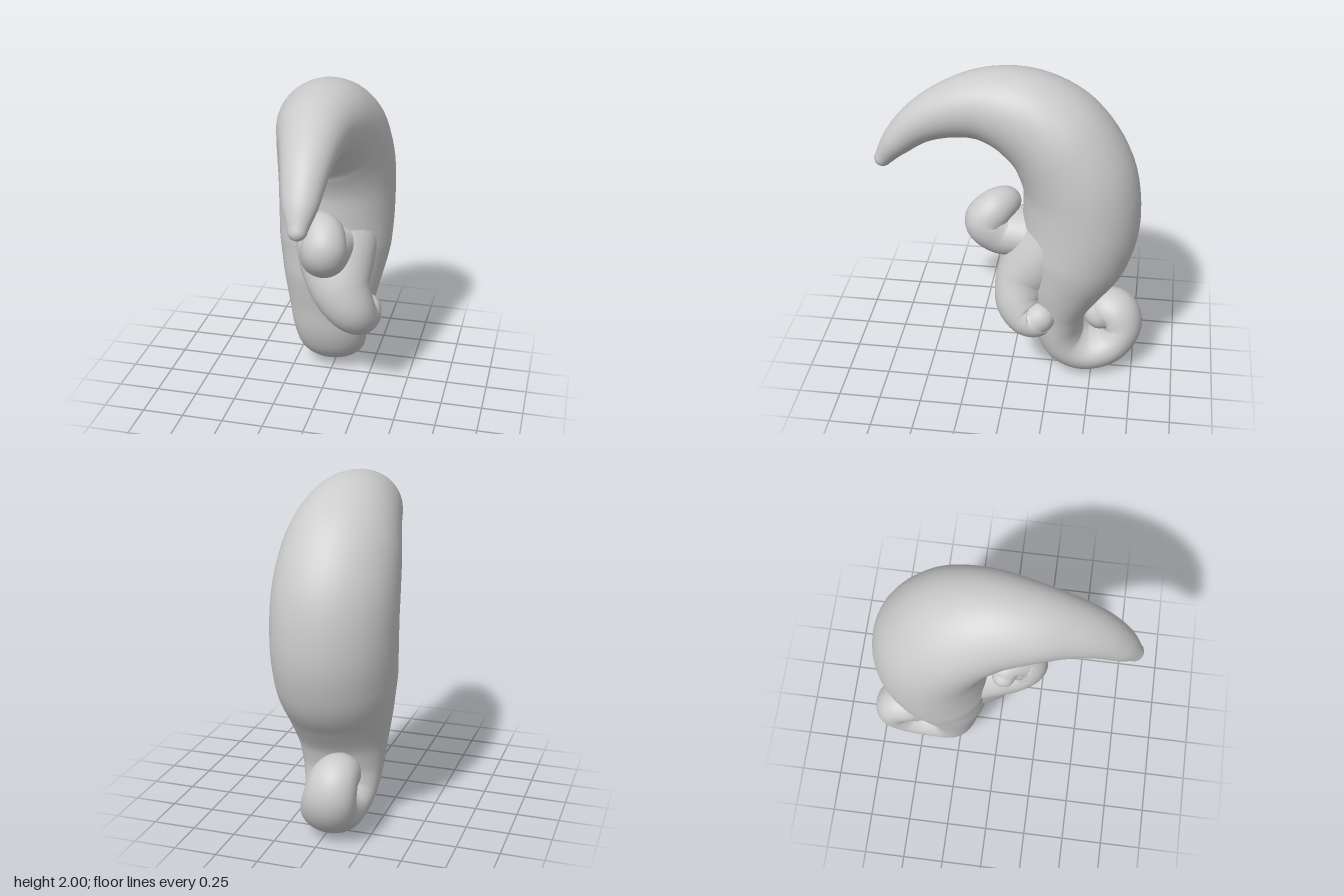
import * as THREE from 'three';

const material = new THREE.MeshStandardMaterial({ color: 0xcccccc });

// Tapering tube with round ends. Each station is
// [x, y, z, half thickness in the curl plane, half width along x].
// Lean slides the outer side of the curl toward +x.
function taperedCurl(name, stations, steps, sides, lean = 0) {
  const path = new THREE.CatmullRomCurve3(stations.map(s => new THREE.Vector3(s[0], s[1], s[2])));
  const size = new THREE.CatmullRomCurve3(stations.map(s => new THREE.Vector3(s[3], s[4], 0)));
  const rings = [];
  const capSteps = 5;
  const cap = (t, sign, k) => {
    const a = (k / capSteps) * Math.PI / 2;
    rings.push({ t, shift: sign * Math.sin(a), scale: Math.max(Math.cos(a), 0.001) });
  };
  for (let k = capSteps; k > 0; k--) cap(0, -1, k);
  for (let i = 0; i <= steps; i++) rings.push({ t: i / steps, shift: 0, scale: 1 });
  for (let k = 1; k <= capSteps; k++) cap(1, 1, k);

  const positions = [], index = [];
  rings.forEach(({ t, shift, scale }, i) => {
    const tangent = path.getTangent(t);
    const { x: r, y: w } = size.getPoint(t);
    const center = path.getPoint(t).addScaledVector(tangent, shift * Math.min(r, w));
    const side = new THREE.Vector3(1, 0, 0);
    side.addScaledVector(tangent, -side.dot(tangent)).normalize();
    const up = new THREE.Vector3().crossVectors(tangent, side);
    for (let j = 0; j < sides; j++) {
      const a = (j / sides) * Math.PI * 2;
      const inward = Math.sin(a) * r * scale;
      const p = center.clone()
        .addScaledVector(side, Math.cos(a) * w * scale - lean * inward)
        .addScaledVector(up, inward);
      positions.push(p.x, p.y, p.z);
      if (i < rings.length - 1) {
        const p0 = i * sides + j, p1 = i * sides + (j + 1) % sides;
        index.push(p0, p1, p0 + sides, p1, p1 + sides, p0 + sides);
      }
    }
  });
  const geometry = new THREE.BufferGeometry();
  geometry.setAttribute('position', new THREE.Float32BufferAttribute(positions, 3));
  geometry.setIndex(index);
  geometry.computeVertexNormals();
  const mesh = new THREE.Mesh(geometry, material);
  mesh.name = name;
  return mesh;
}

export function createModel() {
  const group = new THREE.Group();
  group.name = 'curledHorn';

  // Hooked body, from the pointed tip over the back to the tail spiral
  group.add(taperedCurl('body', [
    [0.045, 1.415, 0.75, 0.052, 0.055],
    [0.04, 1.52, 0.67, 0.088, 0.1],
    [0.03, 1.65, 0.53, 0.125, 0.135],
    [0.015, 1.735, 0.35, 0.168, 0.175],
    [0, 1.768, 0.16, 0.215, 0.225],
    [0, 1.73, -0.05, 0.27, 0.28],
    [0, 1.6, -0.245, 0.31, 0.33],
    [0, 1.36, -0.38, 0.335, 0.353],
    [0, 1.1, -0.405, 0.345, 0.353],
    [0, 0.88, -0.37, 0.33, 0.343],
    [-0.005, 0.67, -0.315, 0.265, 0.305],
    [-0.01, 0.46, -0.285, 0.18, 0.26],
    [-0.01, 0.3, -0.29, 0.15, 0.235],
    [-0.01, 0.19, -0.34, 0.138, 0.215],
    [-0.015, 0.13, -0.46, 0.13, 0.19],
    [-0.035, 0.17, -0.61, 0.125, 0.17],
    [-0.06, 0.28, -0.675, 0.125, 0.155],
    [-0.07, 0.37, -0.64, 0.13, 0.145],
    [-0.075, 0.385, -0.58, 0.125, 0.135],
    [-0.075, 0.365, -0.54, 0.11, 0.12],
  ], 120, 40, 0.08));

  // Upper front tendril, rolled upward and coiling over to one side
  group.add(taperedCurl('upperTendril', [
    [0, 0.96, -0.24, 0.19, 0.24],
    [0.005, 0.96, -0.06, 0.145, 0.175],
    [0.025, 0.965, 0.07, 0.14, 0.145],
    [0.045, 1.04, 0.15, 0.13, 0.135],
    [0.03, 1.115, 0.1, 0.115, 0.12],
    [-0.03, 1.13, 0.045, 0.095, 0.095],
    [-0.075, 1.1, 0.03, 0.07, 0.07],
  ], 48, 32));

  // Lower front tendril, hanging down to one side and hooking backward
  group.add(taperedCurl('lowerTendril', [
    [0.02, 0.96, -0.27, 0.22, 0.28],
    [0.05, 0.83, -0.17, 0.2, 0.24],
    [0.095, 0.68, -0.085, 0.175, 0.19],
    [0.16, 0.56, -0.07, 0.15, 0.155],
    [0.205, 0.49, -0.12, 0.13, 0.13],
    [0.225, 0.485, -0.17, 0.115, 0.115],
    [0.23, 0.5, -0.19, 0.095, 0.1],
  ], 48, 32));

  return group;
}
